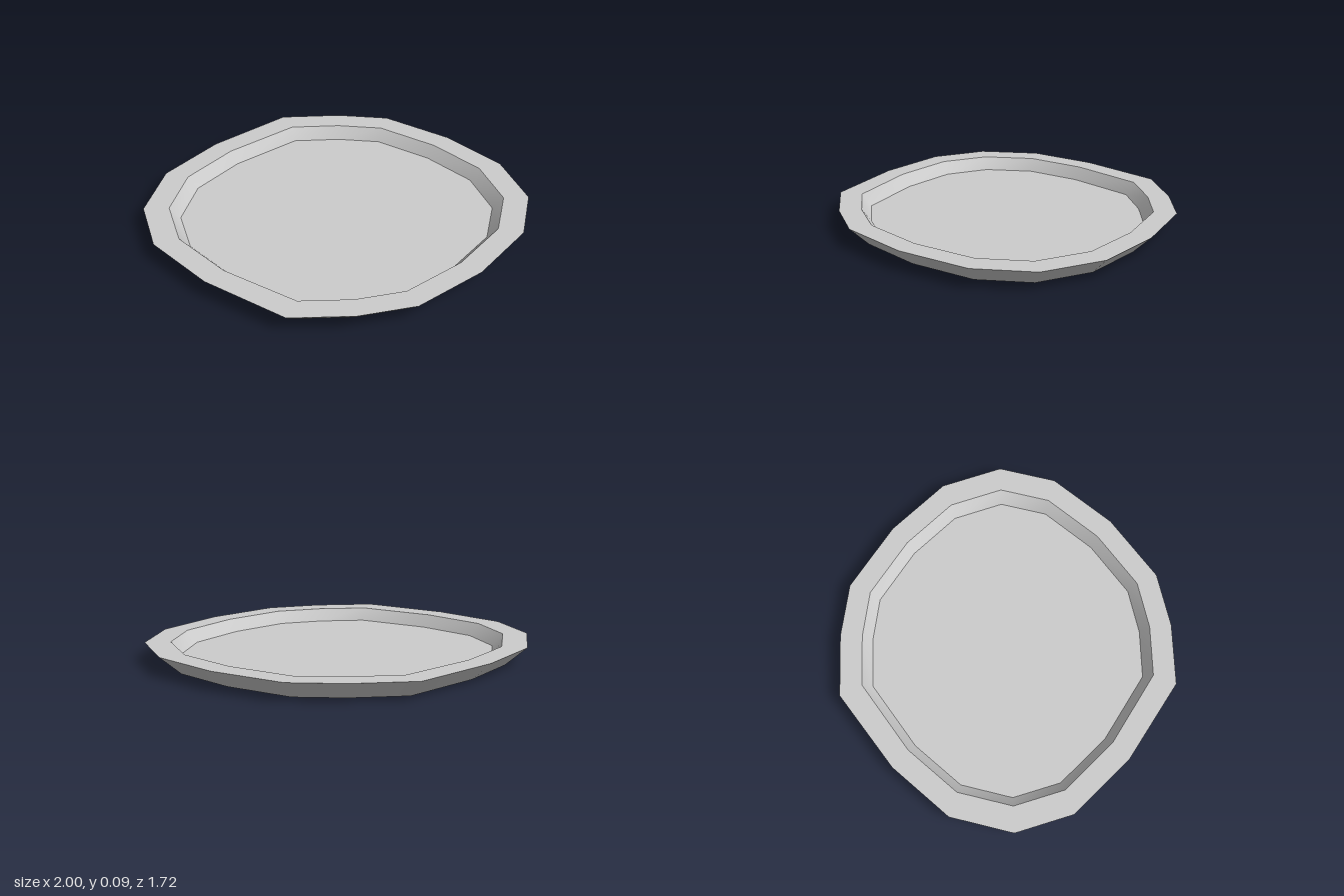
import * as THREE from 'three';
import { toCreasedNormals } from 'three/addons/utils/BufferGeometryUtils.js';

// Uneven sixteen-sided outline (x, z), running from +x towards +z
const outline = [
  [1, 0], [0.915, 0.295], [0.655, 0.585], [0.33, 0.805],
  [0.045, 0.857], [-0.275, 0.853], [-0.655, 0.585], [-0.92, 0.295],
  [-1, 0], [-0.91, -0.315], [-0.655, -0.59], [-0.275, -0.857],
  [0.05, -0.86], [0.33, -0.815], [0.655, -0.59], [0.905, -0.315],
];
// The inside edge is slightly tighter at two corners
const innerOutline = outline.map(([x, z]) => [x === -0.275 ? -0.258 : x, z]);

// Joins rings { shape, scale, y } into a surface
function loft(rings) {
  const n = outline.length;
  const positions = [];
  const index = [];
  for (const { shape, scale, y } of rings) {
    for (const [x, z] of shape) positions.push(x * scale, y, z * scale);
  }
  for (let i = 0; i < rings.length - 1; i++) {
    for (let j = 0; j < n; j++) {
      const k = (j + 1) % n;
      const a = i * n + j, b = i * n + k, c = b + n, d = a + n;
      // A ring of scale 0 is a centre point, so one triangle is enough there
      if (rings[i].scale > 0) index.push(a, d, b);
      if (rings[i + 1].scale > 0) index.push(d, c, b);
    }
  }
  const geometry = new THREE.BufferGeometry();
  geometry.setAttribute('position', new THREE.Float32BufferAttribute(positions, 3));
  geometry.setIndex(index);
  return toCreasedNormals(geometry, 0.65);
}

export function createModel() {
  const group = new THREE.Group();
  group.name = 'plate';
  const material = new THREE.MeshStandardMaterial({ color: 0xcccccc });

  const add = (name, rings) => {
    const mesh = new THREE.Mesh(loft(rings), material);
    mesh.name = name;
    group.add(mesh);
  };

  const foot = { shape: outline, scale: 0.888, y: 0 };
  const rimOuter = { shape: outline, scale: 1, y: 0.095 };
  const rimInner = { shape: innerOutline, scale: 0.868, y: 0.095 };
  const floorEdge = { shape: innerOutline, scale: 0.814, y: 0.031 };

  // Flat underside and flared outer wall
  add('underside', [{ shape: outline, scale: 0, y: 0 }, foot]);
  add('outerWall', [foot, rimOuter]);
  // Flat rim, sloping inner wall and sunken floor
  add('rim', [rimOuter, rimInner]);
  add('innerWall', [rimInner, floorEdge]);
  add('floor', [floorEdge, { shape: innerOutline, scale: 0, y: 0.031 }]);

  return group;
}
